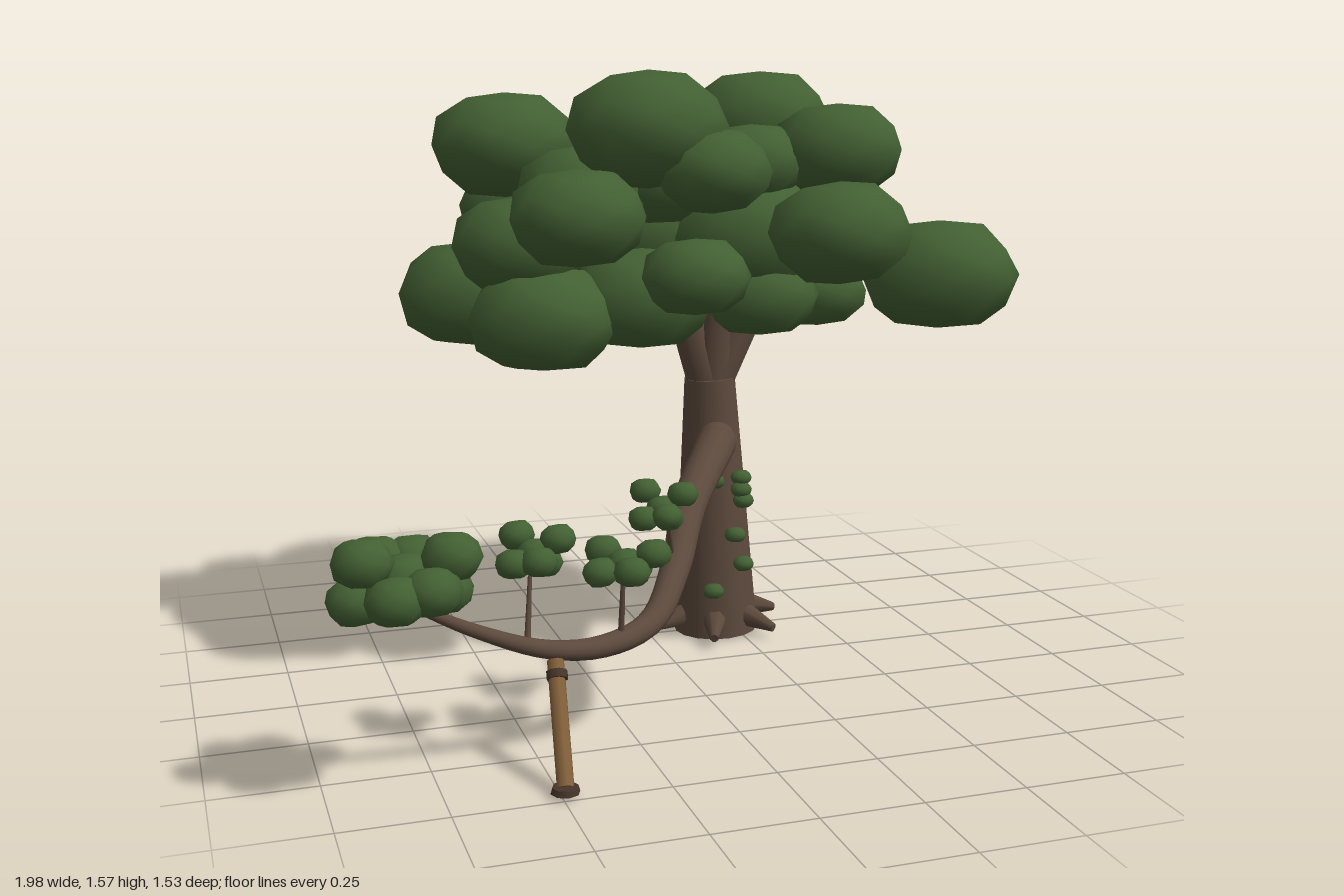
import * as THREE from 'three';

const mat = (name, color) => {
  const m = new THREE.MeshStandardMaterial({ color });
  m.name = name;
  return m;
};
const V = (p) => new THREE.Vector3(...p);

export function createModel() {
  const bark = mat('bark', 0x5c493c);
  const leaf = mat('leaf green', 0x436033);
  const wood = mat('prop wood', 0x83603a);
  const binding = mat('dark binding', 0x46352a);
  const root = new THREE.Group();
  root.name = 'tree';

  const group = (name) => {
    const g = new THREE.Group();
    g.name = name;
    root.add(g);
    return g;
  };
  const add = (parent, name, geometry, material) => {
    const m = new THREE.Mesh(geometry, material);
    m.name = name;
    parent.add(m);
    return m;
  };

  // Straight tapered piece from point a to point b
  const limb = (parent, name, a, b, ra, rb, material, sides = 12) => {
    const d = V(b).sub(V(a));
    const m = add(parent, name, new THREE.CylinderGeometry(rb, ra, d.length(), sides), material);
    m.position.copy(V(a)).addScaledVector(d, 0.5);
    m.quaternion.setFromUnitVectors(new THREE.Vector3(0, 1, 0), d.normalize());
  };

  // Leaf clump: a coarse ball with a slightly lumpy surface, flattened and turned
  const ball = new THREE.IcosahedronGeometry(1, 1);
  const bp = ball.attributes.position;
  for (let i = 0; i < bp.count; i++) {
    const p = new THREE.Vector3().fromBufferAttribute(bp, i);
    p.multiplyScalar(1 + 0.06 * Math.sin(5 * p.x + 2) * Math.cos(4 * p.y - 3 * p.z));
    bp.setXYZ(i, p.x, p.y, p.z);
  }
  let turn = 0;
  const clump = (parent, name, x, y, z, r, flat = 0.72) => {
    const m = add(parent, name, ball, leaf);
    m.position.set(x, y, z);
    m.scale.set(r, r * flat, r * 0.92);
    m.rotation.y = 0.35 * Math.sin(2.4 * turn++);
  };

  // Trunk and the boughs that carry the crown
  const trunk = group('trunk');
  limb(trunk, 'trunkColumn', [0.2, 0.005, -0.25], [0.18, 0.73, -0.25], 0.118, 0.07, bark, 16);
  [[0.35, 1.02, -0.25], [0.06, 1.04, -0.23], [0.21, 1.1, -0.31], [0.19, 1.05, -0.21]].forEach((tip) =>
    limb(trunk, 'bough', [0.18, 0.69, -0.25], tip, 0.056, 0.042, bark, 8));

  // Surface roots spreading from the base
  const roots = group('roots');
  for (let i = 0; i < 6; i++) {
    const a = (i / 6) * Math.PI * 2 - 0.17;
    const at = (r, y) => [0.2 + r * Math.cos(a), y, -0.25 + r * Math.sin(a)];
    limb(roots, 'root', at(0.08, 0.06), at(0.19, 0.032), 0.038, 0.012, bark, 8);
  }

  // Long sagging branch, a tube tapered toward its tip
  const path = new THREE.CatmullRomCurve3([
    [0.17, 0.565, -0.16], [0.01, 0.46, 0.08], [-0.09, 0.355, 0.27], [-0.2, 0.275, 0.42],
    [-0.34, 0.255, 0.495], [-0.48, 0.275, 0.53], [-0.66, 0.355, 0.575], [-0.82, 0.45, 0.615],
  ].map(V));
  const steps = 40, sides = 12;
  const tube = new THREE.TubeGeometry(path, steps, 1, sides, false);
  const pos = tube.attributes.position;
  for (let i = 0; i < pos.count; i++) {
    const t = Math.floor(i / (sides + 1)) / steps;
    const c = path.getPointAt(t);
    const p = new THREE.Vector3().fromBufferAttribute(pos, i).sub(c);
    p.multiplyScalar(0.055 - 0.045 * t).add(c);
    pos.setXYZ(i, p.x, p.y, p.z);
  }
  const branch = group('lowBranch');
  add(branch, 'branchTube', tube, bark);
  add(branch, 'branchJoint', new THREE.SphereGeometry(0.056, 12, 8), bark).position.set(0.17, 0.565, -0.16);

  // Twigs standing on the branch
  const twig = (a, b) => limb(branch, 'twig', a, b, 0.008, 0.005, bark, 6);
  twig([-0.53, 0.295, 0.54], [-0.51, 0.44, 0.49]);
  twig([-0.29, 0.265, 0.475], [-0.29, 0.44, 0.5]);
  twig([-0.09, 0.37, 0.25], [-0.13, 0.52, 0.33]);

  // Wooden prop under the branch
  const prop = group('prop');
  limb(prop, 'propPost', [-0.49, 0.02, 0.72], [-0.465, 0.25, 0.54], 0.02, 0.02, wood, 8);
  limb(prop, 'propBinding', [-0.468, 0.215, 0.568], [-0.466, 0.23, 0.556], 0.025, 0.025, binding, 8);
  limb(prop, 'propFoot', [-0.492, 0.012, 0.725], [-0.492, 0.026, 0.725], 0.034, 0.03, binding, 8);

  // Crown: inner masses, then the outer clumps as x, y, z, radius
  const crown = group('crown');
  [
    [-0.02, 1.31, -0.07, 0.2], [0.12, 1.3, -0.26, 0.2], [-0.16, 1.25, -0.27, 0.2],
    [-0.24, 1.27, -0.02, 0.17], [0.19, 1.34, 0.04, 0.14], [0.2, 1.15, 0, 0.22],
    [-0.05, 1.18, -0.58, 0.14], [0.32, 1.01, -0.4, 0.14], [0.22, 1.05, -0.2, 0.18],
    [0, 1.15, -0.2, 0.26],
  ].forEach((c) => clump(crown, 'innerClump', ...c));
  [
    [0.785, 1.015, -0.07, 0.215],
    [-0.1, 1.43, 0.09, 0.21],
    [0.31, 1.435, -0.22, 0.19],
    [0.42, 1.37, 0.06, 0.17],
    [0.02, 1.3, -0.51, 0.19],
    [-0.31, 1.2, -0.5, 0.155],
    [-0.39, 1.38, -0.24, 0.195],
    [0.2, 1.14, -0.64, 0.135],
    [0.43, 1.04, -0.54, 0.135],
    [0.55, 1.29, -0.24, 0.13],
    [-0.49, 1.0, -0.2, 0.195],
    [-0.31, 1.225, 0.19, 0.17],
    [0.35, 1.175, 0.25, 0.185],
    [-0.36, 0.96, 0.03, 0.19],
    [0.04, 1.33, 0.18, 0.15],
    [-0.03, 1.08, 0.25, 0.135],
    [0.21, 1.0, 0.06, 0.15],
    [0.44, 0.98, -0.1, 0.135],
    [0.33, 1.2, -0.42, 0.18],
    [0.46, 1.09, -0.26, 0.16],
    [-0.06, 1.08, -0.5, 0.185],
    [0.14, 1.0, -0.46, 0.15],
    [-0.28, 1.02, -0.4, 0.17],
    [-0.1, 1.0, 0.02, 0.185],
    [-0.4, 1.14, -0.04, 0.175],
  ].forEach((c) => clump(crown, 'crownClump', ...c));

  // Leaf pads along the low branch: one in the middle, the rest ringed around it
  const pads = group('branchLeaves');
  const padCluster = (x, y, z, count, spread, rise, r) => {
    clump(pads, 'leafPad', x, y, z, r, 0.82);
    for (let i = 0; i < count; i++) {
      const a = (i / count) * Math.PI * 2 + 0.3;
      const h = rise * Math.sin(2.4 * i + 1);
      clump(pads, 'leafPad', x + spread * Math.cos(a), y + h, z + 0.8 * spread * Math.sin(a), r, 0.82);
    }
  };
  padCluster(-0.82, 0.51, 0.635, 8, 0.105, 0.055, 0.067);
  padCluster(-0.495, 0.49, 0.475, 5, 0.055, 0.038, 0.043);
  padCluster(-0.285, 0.452, 0.495, 5, 0.068, 0.025, 0.043);
  padCluster(-0.15, 0.535, 0.35, 5, 0.052, 0.04, 0.038);

  // Ivy tufts climbing the front of the trunk
  const ivy = group('ivy');
  [
    [0.155, 0.46, -0.14], [0.24, 0.46, -0.155], [0.24, 0.4, -0.135], [0.215, 0.305, -0.13],
    [0.245, 0.215, -0.145], [0.155, 0.145, -0.14], [0.235, 0.43, -0.14],
  ].forEach((p) => clump(ivy, 'ivyTuft', ...p, 0.03));

  return root;
}
